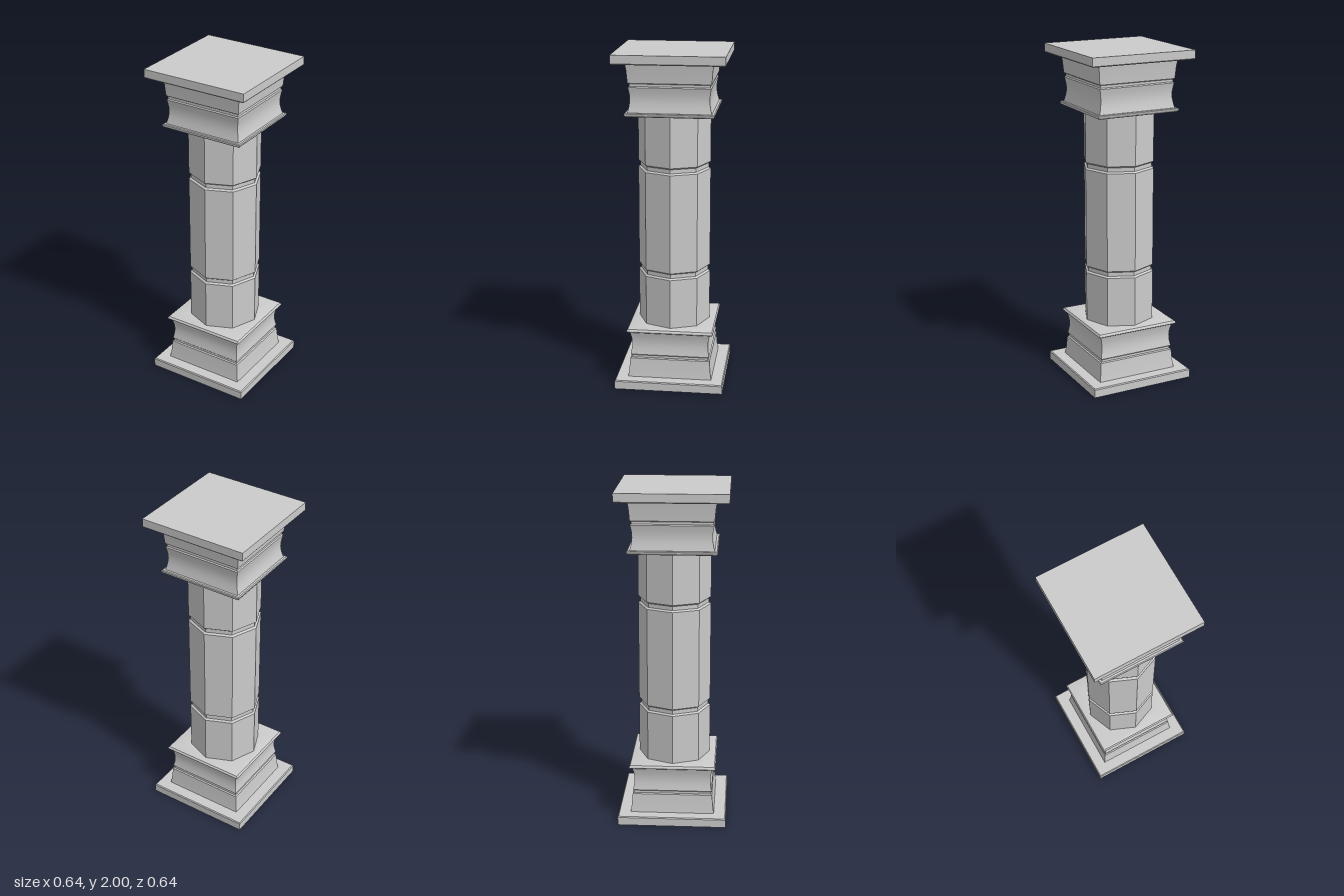
import * as THREE from 'three';
import { toCreasedNormals } from 'three/addons/utils/BufferGeometryUtils.js';

const material = new THREE.MeshStandardMaterial({ color: 0xcccccc, side: THREE.DoubleSide });
const SIDES = 8;

// One point of a ring: square by half width, or octagonal by radius
function ringPoint([size, y, octagonal], i) {
  const a = (i * Math.PI * 2) / SIDES;
  const c = Math.cos(a), s = Math.sin(a);
  const k = octagonal ? size : size / Math.max(Math.abs(c), Math.abs(s));
  return [c * k, y, s * k];
}

// Skin a list of rings, ordered from bottom to top
function loft(name, rings) {
  const positions = [];
  for (let r = 0; r < rings.length - 1; r++) {
    const low = rings[r], up = rings[r + 1];
    for (let i = 0; i < SIDES; i++) {
      const a = ringPoint(low, i), b = ringPoint(low, i + 1);
      const c = ringPoint(up, i), d = ringPoint(up, i + 1);
      if (low[0] > 0) positions.push(...a, ...c, ...b);
      if (up[0] > 0) positions.push(...b, ...c, ...d);
    }
  }
  const geometry = new THREE.BufferGeometry();
  geometry.setAttribute('position', new THREE.Float32BufferAttribute(positions, 3));
  const mesh = new THREE.Mesh(toCreasedNormals(geometry, Math.PI / 7), material);
  mesh.name = name;
  return mesh;
}

export function createModel() {
  const group = new THREE.Group();
  group.name = 'column';
  const shaftRadius = 0.215, grooveRadius = 0.203;

  // Square moulding: plinth, flared tier, fine groove, hollow tier and rounded lip
  const plinth = [[0.322, 0], [0.322, 0.048], [0.317, 0.054], [0.25, 0.054]];
  const flare = [[0.244, 0.095], [0.238, 0.168], [0.23, 0.173], [0.23, 0.187], [0.236, 0.193]];
  const hollow = [];
  for (let i = 1; i <= 8; i++) {
    const t = i / 8;
    hollow.push([0.236 + 0.004 * t - 0.011 * Math.sin(Math.PI * t), 0.193 + 0.144 * t]);
  }
  const lip = [[0.252, 0.337], [0.257, 0.341], [0.257, 0.347], [0.251, 0.357], [0.244, 0.36]];
  const moulding = [...plinth, ...flare, ...hollow, ...lip, [shaftRadius, 0.36, true]];

  // Base is hollow and open underneath
  group.add(loft('base', moulding));

  // Capital mirrors the base and is closed on top
  const capital = moulding.map(([h, y, oct]) => [h, 2 - y, oct]).reverse();
  group.add(loft('capital', [...capital, [0, 2]]));

  // Octagonal shaft with two bevelled grooves
  const shaft = [[shaftRadius, 0.36, true]];
  for (const y of [0.682, 1.318]) {
    shaft.push(
      [shaftRadius, y - 0.021, true], [grooveRadius, y - 0.012, true],
      [grooveRadius, y + 0.012, true], [shaftRadius, y + 0.021, true]
    );
  }
  shaft.push([shaftRadius, 1.64, true]);
  group.add(loft('shaft', shaft));

  return group;
}
